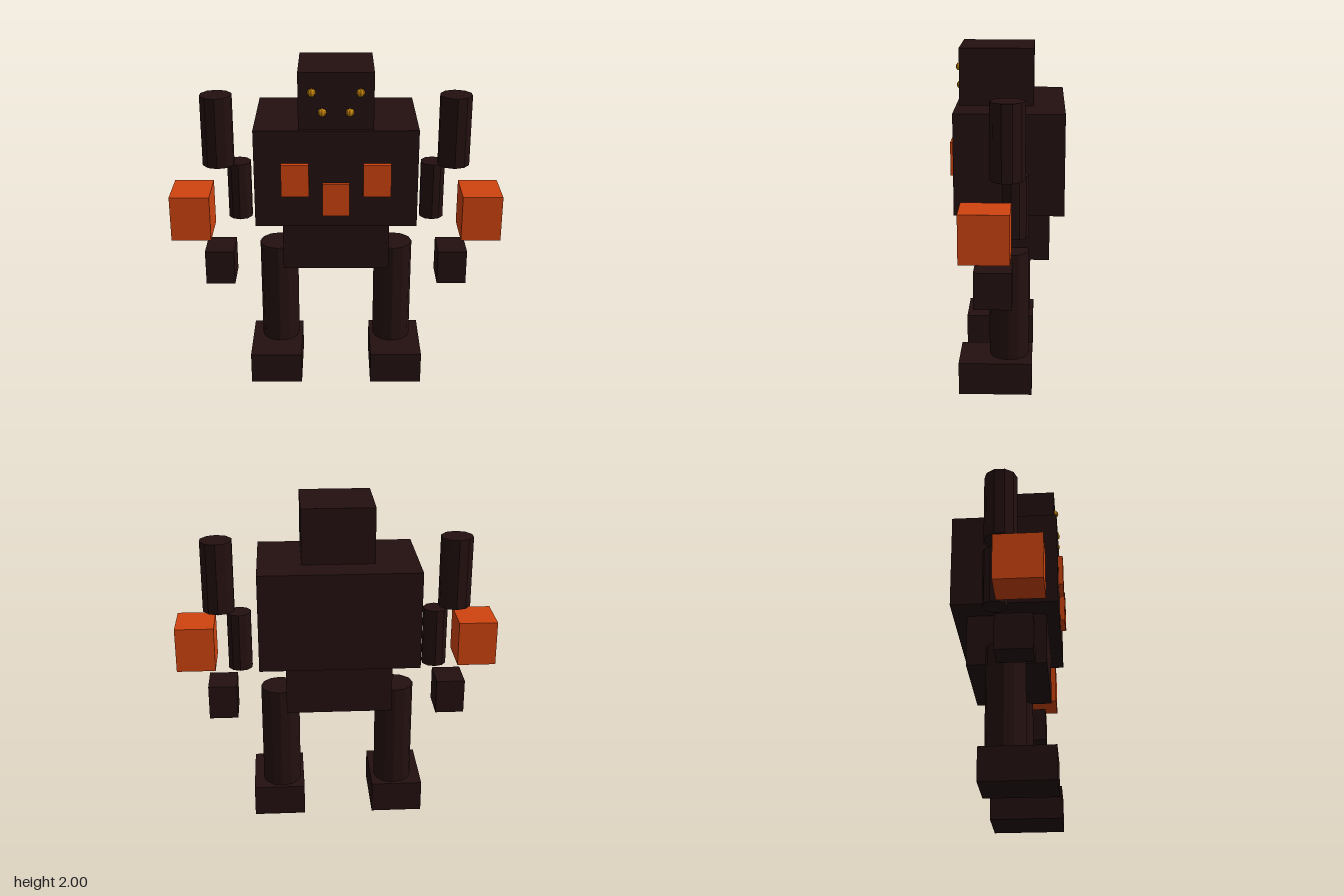
import * as THREE from 'three';

export function createModel() {
  const model = new THREE.Group();
  model.name = 'robot';

  const material = (name, color) => {
    const m = new THREE.MeshStandardMaterial({ color, flatShading: true });
    m.name = name;
    return m;
  };
  const dark = material('dark brown', 0x241010);
  const orange = material('orange', 0xd04410);
  const amber = material('amber', 0xc8860c);

  const add = (name, geometry, mat, x, y, z) => {
    const mesh = new THREE.Mesh(geometry, mat);
    mesh.name = name;
    mesh.position.set(x, y, z);
    model.add(mesh);
  };
  // Box given by its limits on each axis
  const box = (name, mat, [x0, x1], [y0, y1], [z0, z1]) =>
    add(name, new THREE.BoxGeometry(x1 - x0, y1 - y0, z1 - z0), mat,
      (x0 + x1) / 2, (y0 + y1) / 2, (z0 + z1) / 2);
  // Upright cylinder between two heights
  const post = (name, r, sides, x, [y0, y1], z) =>
    add(name, new THREE.CylinderGeometry(r, r, y1 - y0, sides), dark, x, (y0 + y1) / 2, z);

  // Body
  box('head', dark, [-0.214, 0.214], [1.6, 2], [-0.15, 0.28]);
  box('torso', dark, [-0.47, 0.47], [1.085, 1.67], [-0.328, 0.3]);
  box('pelvis', dark, [-0.315, 0.315], [0.77, 1.085], [-0.246, 0.224]);
  box('middleChestPlate', orange, [-0.078, 0.078], [1.16, 1.356], [0.29, 0.328]);

  for (const [side, s] of [['left', 1], ['right', -1]]) {
    const span = (a, b) => (s > 0 ? [a, b] : [-b, -a]);

    // Limbs, with the floating arm pieces
    post(side + 'Leg', 0.117, 12, s * 0.352, [0.19, 0.845], -0.012);
    box(side + 'Foot', dark, span(0.214, 0.528), [0, 0.196], [-0.15, 0.28]);
    post(side + 'UpperArm', 0.097, 10, s * 0.705, [1.356, 1.785], -0.014);
    post(side + 'Forearm', 0.074, 10, s * 0.586, [1.002, 1.356], -0.055);
    box(side + 'Fist', dark, span(0.617, 0.793), [0.64, 0.854], [-0.04, 0.172]);
    box(side + 'Gauntlet', orange, span(0.742, 0.977), [0.962, 1.238], [-0.036, 0.24]);

    // Chest plate and eyes
    box(side + 'ChestPlate', orange, span(0.156, 0.315), [1.28, 1.473], [0.29, 0.328]);
    const eye = new THREE.SphereGeometry(0.024, 8, 6);
    add(side + 'UpperEye', eye, amber, s * 0.137, 1.885, 0.28);
    add(side + 'LowerEye', eye, amber, s * 0.078, 1.77, 0.28);
  }
  return model;
}
